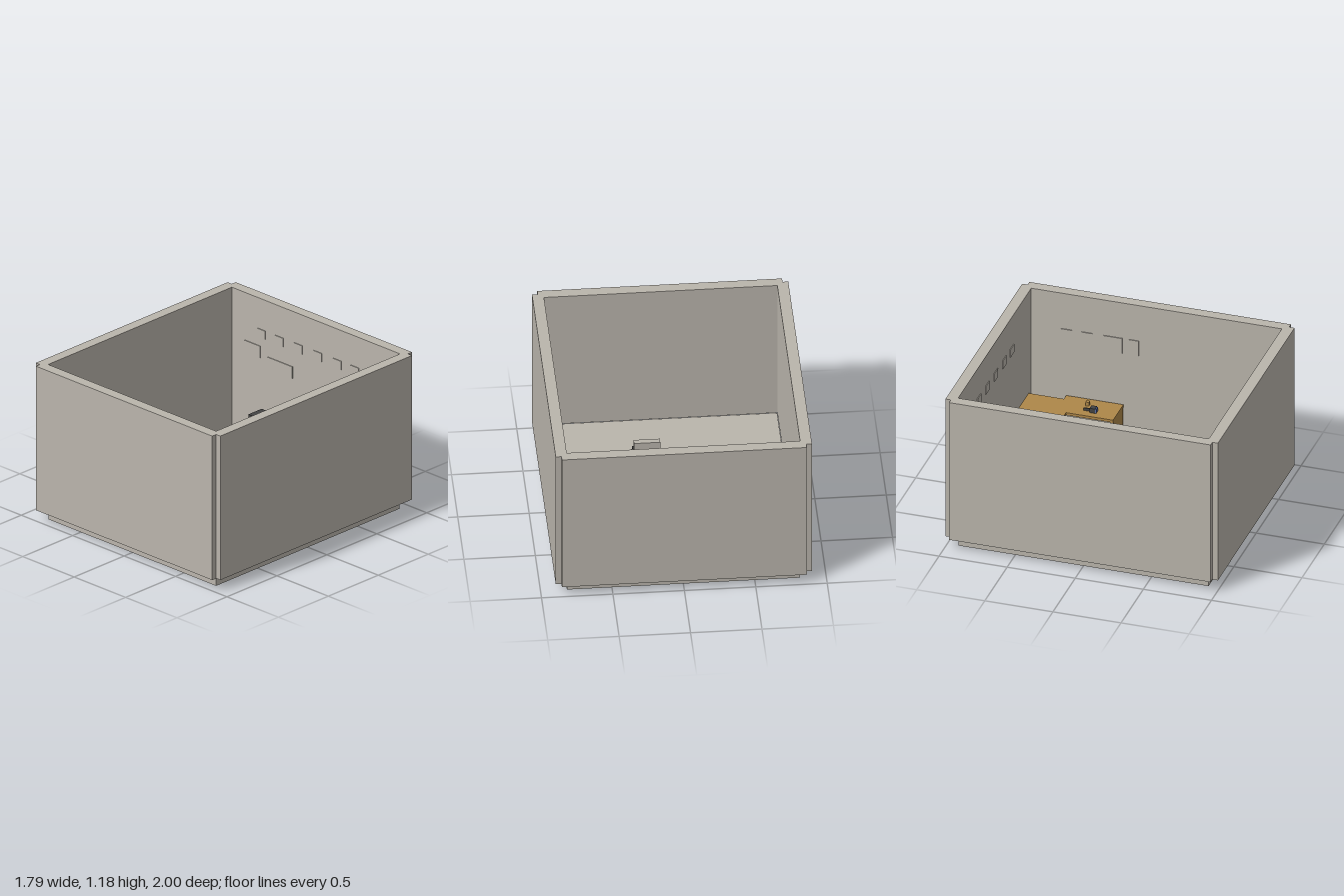
import * as THREE from 'three';

const mat = (name, color) => {
  const m = new THREE.MeshStandardMaterial({ color });
  m.name = name;
  return m;
};

export function createModel() {
  const stone = mat('warm grey', 0xbab5ac);
  const wood = mat('wood', 0xae8749);
  const blue = mat('blue', 0x5a6fa6);
  const dark = mat('charcoal', 0x434343);

  const root = new THREE.Group();
  root.name = 'officeRoom';

  const group = (name, parent = root) => {
    const g = new THREE.Group();
    g.name = name;
    parent.add(g);
    return g;
  };
  // Box given by its min and max on each axis
  const box = (parent, name, m, x0, x1, y0, y1, z0, z1) => {
    const mesh = new THREE.Mesh(new THREE.BoxGeometry(x1 - x0, y1 - y0, z1 - z0), m);
    mesh.position.set((x0 + x1) / 2, (y0 + y1) / 2, (z0 + z1) / 2);
    mesh.name = name;
    parent.add(mesh);
    return mesh;
  };
  const cylinder = (parent, name, m, rTop, rBottom, x, y0, y1, z) => {
    const mesh = new THREE.Mesh(new THREE.CylinderGeometry(rTop, rBottom, y1 - y0, 24), m);
    mesh.position.set(x, (y0 + y1) / 2, z);
    mesh.name = name;
    parent.add(mesh);
    return mesh;
  };

  const F = 0.083; // floor level
  const D = 0.375; // desk level
  const H = 1.183; // wall top

  // Room shell, with a notch at each outer corner
  const room = group('room');
  box(room, 'floor', stone, -0.815, 0.815, 0, F, -0.918, 0.918);
  for (const s of [-1, 1]) {
    const cross = box(room, s < 0 ? 'backWall' : 'frontWall', stone, -0.857, 0.857, F, H, -0.04, 0.04);
    cross.position.z = s * 0.96;
    const side = box(room, s < 0 ? 'rightWall' : 'leftWall', stone, -0.04, 0.04, F, H, -0.96, 0.96);
    side.position.x = s * 0.857;
  }

  // L-shaped wooden desk in the back corner
  const desk = group('cornerDesk');
  box(desk, 'deskTop', wood, -0.23, 0.755, D - 0.02, D, -0.918, -0.585);
  box(desk, 'deskWing', wood, 0.575, 0.807, D - 0.02, D, -0.66, -0.24);
  box(desk, 'deskSide', wood, -0.23, -0.21, F, D - 0.02, -0.91, -0.59);
  box(desk, 'wingEnd', wood, 0.58, 0.8, F, D - 0.02, -0.26, -0.24);
  box(desk, 'modestyPanel', wood, -0.21, 0.75, 0.16, D - 0.02, -0.918, -0.9);
  box(desk, 'woodBlock', wood, 0.71, 0.735, D, D + 0.03, -0.488, -0.462);

  // Small grey table
  const table = group('table');
  box(table, 'tableTop', stone, -0.05, 0.45, D - 0.02, D, -0.5, -0.285);
  for (const x of [-0.045, 0.425])
    for (const z of [-0.495, -0.31]) box(table, 'tableLeg', stone, x, x + 0.02, F, D - 0.02, z, z + 0.02);

  // Flat screens on stands
  const screen = (x0, x1, z) => {
    const g = group('monitor');
    const c = (x0 + x1) / 2;
    box(g, 'screen', dark, x0, x1, D + 0.03, D + 0.16, z - 0.01, z + 0.01);
    box(g, 'standNeck', dark, c - 0.015, c + 0.015, D, D + 0.06, z - 0.015, z - 0.005);
    box(g, 'standFoot', dark, c - 0.04, c + 0.04, D, D + 0.006, z - 0.014, z + 0.014);
  };
  screen(-0.04, 0.195, -0.61);
  screen(-0.04, 0.155, -0.37);

  // Printers, one on its own cabinet
  const cabinet = group('printerCabinet');
  box(cabinet, 'cabinetBody', stone, -0.353, -0.235, F, D, -0.755, -0.62);
  const printer = (x, z) => {
    const g = group('printer');
    box(g, 'printerBody', dark, x, x + 0.175, D + 0.005, D + 0.08, z, z + 0.133);
    box(g, 'printerTray', stone, x + 0.01, x + 0.12, D + 0.01, D + 0.07, z - 0.012, z);
  };
  printer(-0.355, -0.743);
  printer(0.175, -0.457);

  // Desk items
  const items = group('deskItems');
  box(items, 'keyboard', stone, -0.05, 0.005, D, D + 0.008, -0.31, -0.287);
  box(items, 'papers', stone, 0.34, 0.41, D, D + 0.006, -0.43, -0.355);
  box(items, 'phone', stone, 0.35, 0.4, D, D + 0.025, -0.385, -0.36);
  box(items, 'cup', stone, -0.16, -0.13, D, D + 0.03, -0.68, -0.66);
  const handset = (x, z, body) => {
    const g = group('handset');
    box(g, 'handsetStem', dark, x - 0.005, x + 0.005, D, D + 0.02, z - 0.065, z - 0.015);
    box(g, 'handsetBody', body, x - 0.022, x + 0.022, D, D + 0.035, z - 0.015, z + 0.025);
    box(g, 'handsetBand', blue, x - 0.018, x + 0.018, D, D + 0.03, z + 0.025, z + 0.034);
  };
  handset(0.322, -0.575, stone);
  handset(0.648, -0.415, dark);

  // Waste bin
  cylinder(root, 'wasteBin', blue, 0.045, 0.038, 0.505, F, F + 0.13, -0.465);

  // Swivel armchairs with five-star bases
  const chair = (name, cover, x, z) => {
    const g = group(name);
    g.position.set(x, 0, z);
    box(g, 'seat', cover, -0.097, 0.097, 0.225, 0.265, -0.06, 0.097);
    box(g, 'backrest', cover, -0.092, 0.092, 0.25, 0.455, -0.097, -0.055);
    for (const s of [-1, 1]) {
      const xa = s * 0.084;
      box(g, 'armrest', dark, xa - 0.01, xa + 0.01, 0.32, 0.335, -0.052, 0.04);
      box(g, 'armPost', dark, xa - 0.006, xa + 0.006, 0.265, 0.32, -0.02, 0.01);
    }
    cylinder(g, 'column', dark, 0.012, 0.012, 0, 0.11, 0.225, 0);
    for (let i = 0; i < 5; i++) {
      const spoke = group('baseSpoke', g);
      spoke.rotation.y = (i * Math.PI * 2) / 5 + 0.3;
      box(spoke, 'spoke', dark, -0.007, 0.007, 0.105, 0.118, 0, 0.095);
      box(spoke, 'caster', dark, -0.01, 0.01, F, 0.106, 0.08, 0.1);
    }
    box(g, 'lever', dark, 0.04, 0.104, 0.212, 0.22, 0.005, 0.013);
  };
  chair('blueChair', blue, -0.085, -0.257);
  chair('greyChair', stone, 0.162, 0.235);

  // Thin panels on the back and left walls
  const panels = group('wallPanels');
  for (const x of [-0.49, -0.315, -0.13, 0.06, 0.25, 0.42])
    box(panels, 'smallPanel', stone, x - 0.08, x, 0.885, 0.95, -0.921, -0.914);
  box(panels, 'widePanel', stone, -0.69, -0.54, 0.73, 0.82, -0.921, -0.914);
  box(panels, 'widePanel', stone, -0.47, -0.225, 0.67, 0.76, -0.921, -0.914);
  for (const [z0, z1] of [[-0.7, -0.62], [-0.55, -0.47], [-0.39, -0.25], [-0.2, -0.13]])
    box(panels, 'sidePanel', stone, 0.811, 0.818, 0.78, 0.9, z0, z1);

  return root;
}
